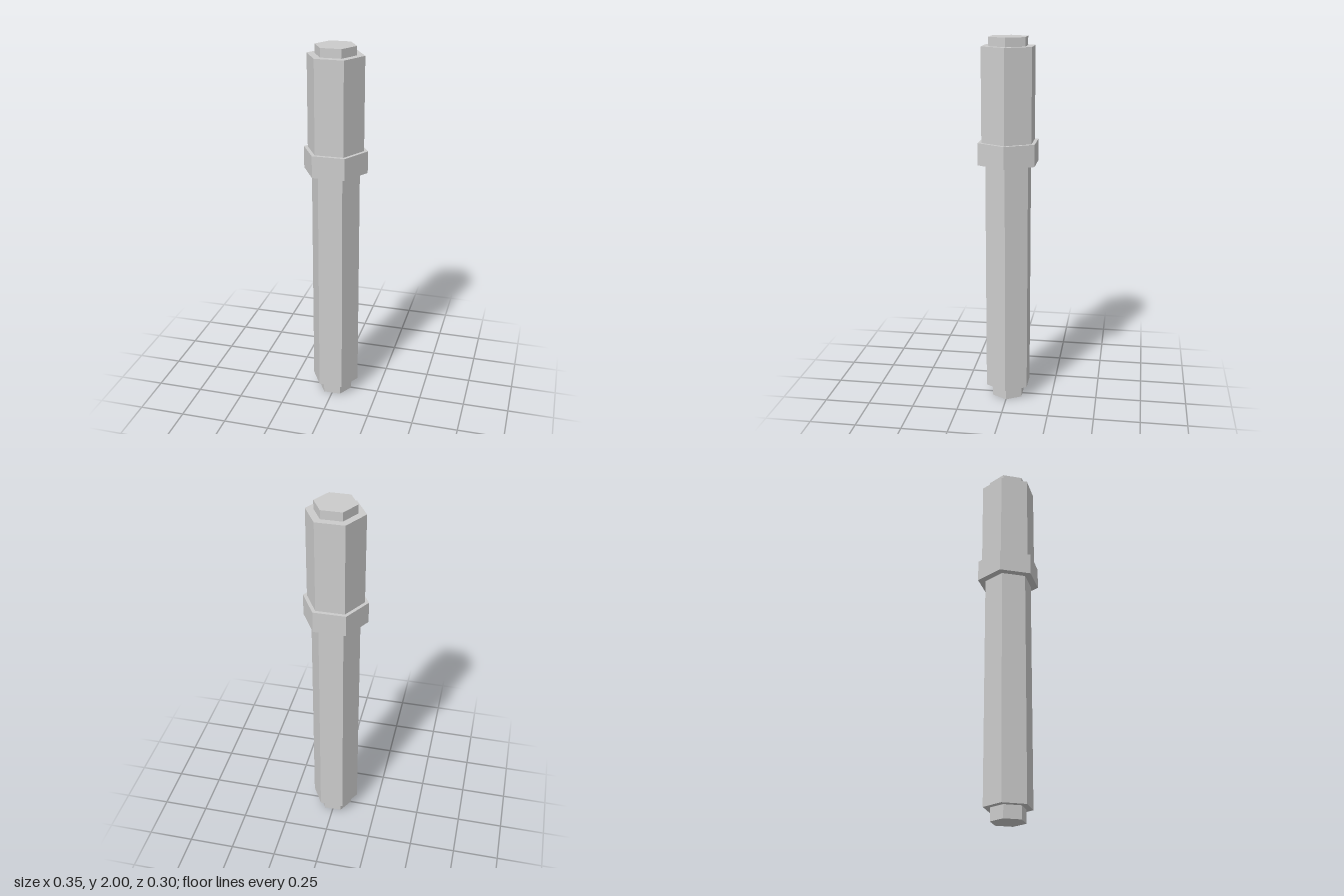
import * as THREE from 'three';

// Stacked hexagonal sections: name, corner radius, bottom y, top y
const SECTIONS = [
  ['tip', 0.094, 0, 0.07],
  ['barrel', 0.131, 0.07, 1.34],
  ['collar', 0.173, 1.34, 1.458],
  ['cap', 0.152, 1.458, 1.953],
  ['endButton', 0.11, 1.953, 2],
];

export function createModel() {
  const model = new THREE.Group();
  model.name = 'hexagonalPen';
  const material = new THREE.MeshStandardMaterial({ color: 0xcccccc, flatShading: true });

  for (const [name, radius, bottom, top] of SECTIONS) {
    // Start angle puts corners on the x axis and flats at front and back
    const geometry = new THREE.CylinderGeometry(radius, radius, top - bottom, 6, 1, false, Math.PI / 6);
    const mesh = new THREE.Mesh(geometry, material);
    mesh.name = name;
    mesh.position.y = (bottom + top) / 2;
    model.add(mesh);
  }
  return model;
}
